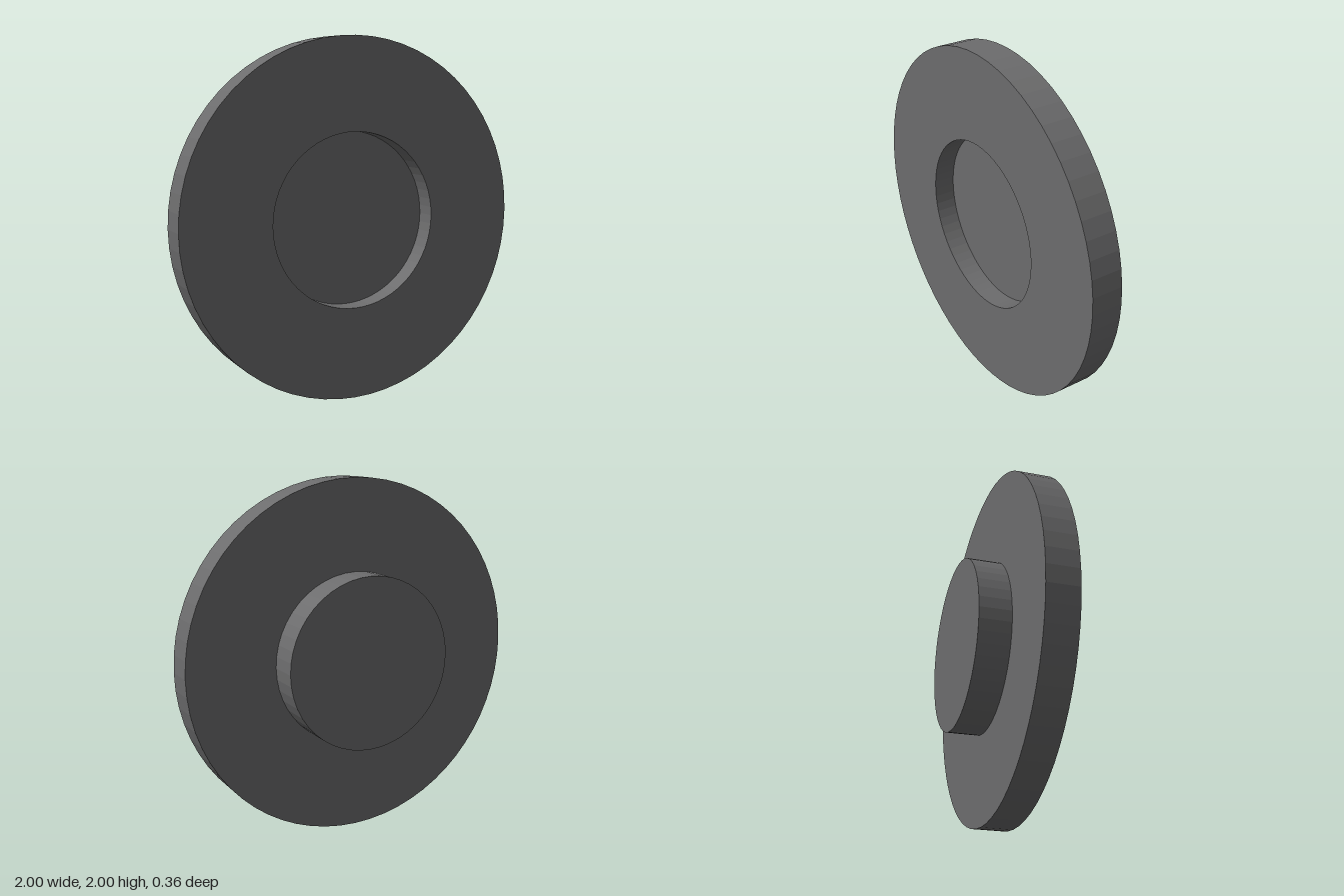
import * as THREE from 'three';

const FRONT = 0.18;   // front face of the flange
const BACK = -0.18;   // back face of the hub
const FLOOR = 0.06;   // bottom of the front recess
const OUTER_R = 1;
const BORE_R = 0.487;
const HUB_R = 0.4885; // slightly over the bore, so the joint stays closed

export function createModel() {
  const model = new THREE.Group();
  model.name = 'flangedDisc';
  const material = new THREE.MeshStandardMaterial({ color: 0x6c6c6d, flatShading: true });

  const add = (name, geometry) => {
    geometry.rotateX(Math.PI / 2); // turn the axis from y to z
    const mesh = new THREE.Mesh(geometry, material);
    mesh.name = name;
    mesh.position.y = OUTER_R;
    model.add(mesh);
  };

  // Wide ring whose bore forms the wall of the front recess
  const ring = [
    [BORE_R, 0], [OUTER_R, 0], [OUTER_R, FRONT], [BORE_R, FRONT], [BORE_R, 0],
  ].map(([r, z]) => new THREE.Vector2(r, z));
  add('flange', new THREE.LatheGeometry(ring, 64));

  // Plug that closes the bore and stands out at the back
  const hub = new THREE.CylinderGeometry(HUB_R, HUB_R, FLOOR - BACK, 48);
  hub.translate(0, (FLOOR + BACK) / 2, 0);
  add('hub', hub);

  return model;
}
